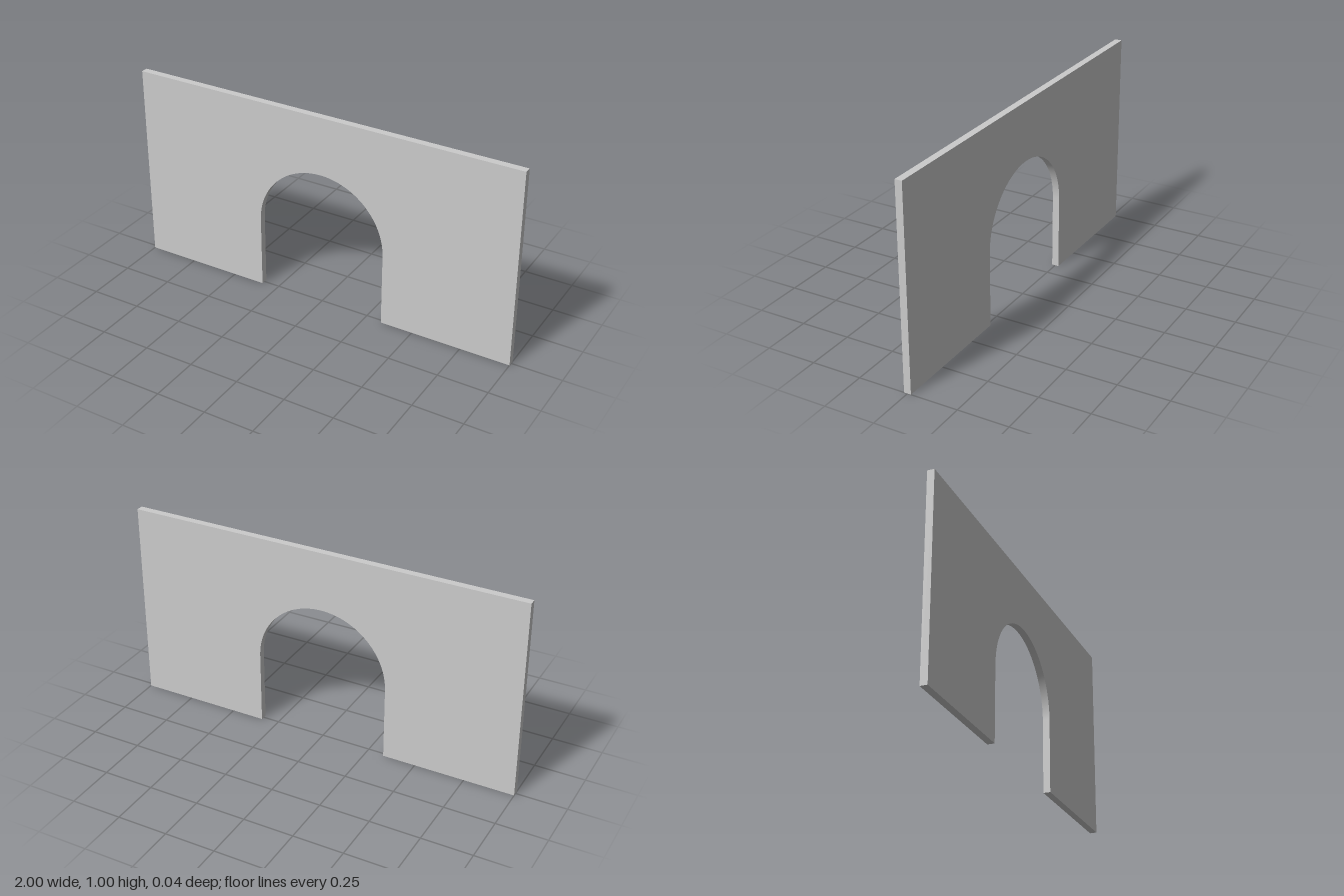
import * as THREE from 'three';
import { toCreasedNormals } from 'three/addons/utils/BufferGeometryUtils.js';

const HALF_WIDTH = 1, HEIGHT = 1, THICKNESS = 0.035;
const ARCH_RADIUS = 0.335, SPRING_HEIGHT = 0.37;

export function createModel() {
  const group = new THREE.Group();
  group.name = 'archedWall';

  // Wall outline, with the round-topped doorway cut up from the bottom edge
  const outline = new THREE.Shape();
  outline.moveTo(-HALF_WIDTH, 0);
  outline.lineTo(-ARCH_RADIUS, 0);
  outline.lineTo(-ARCH_RADIUS, SPRING_HEIGHT);
  outline.absarc(0, SPRING_HEIGHT, ARCH_RADIUS, Math.PI, 0, true);
  outline.lineTo(ARCH_RADIUS, 0);
  outline.lineTo(HALF_WIDTH, 0);
  outline.lineTo(HALF_WIDTH, HEIGHT);
  outline.lineTo(-HALF_WIDTH, HEIGHT);
  outline.closePath();

  // Thin slab centred on z = 0, smooth inside the arch and sharp at the edges
  const slab = new THREE.ExtrudeGeometry(outline, {
    depth: THICKNESS, bevelEnabled: false, curveSegments: 32,
  });
  slab.translate(0, 0, -THICKNESS / 2);

  const wall = new THREE.Mesh(
    toCreasedNormals(slab, Math.PI / 6),
    new THREE.MeshStandardMaterial({ color: 0xcccccc }),
  );
  wall.name = 'wallWithArch';
  group.add(wall);
  return group;
}
